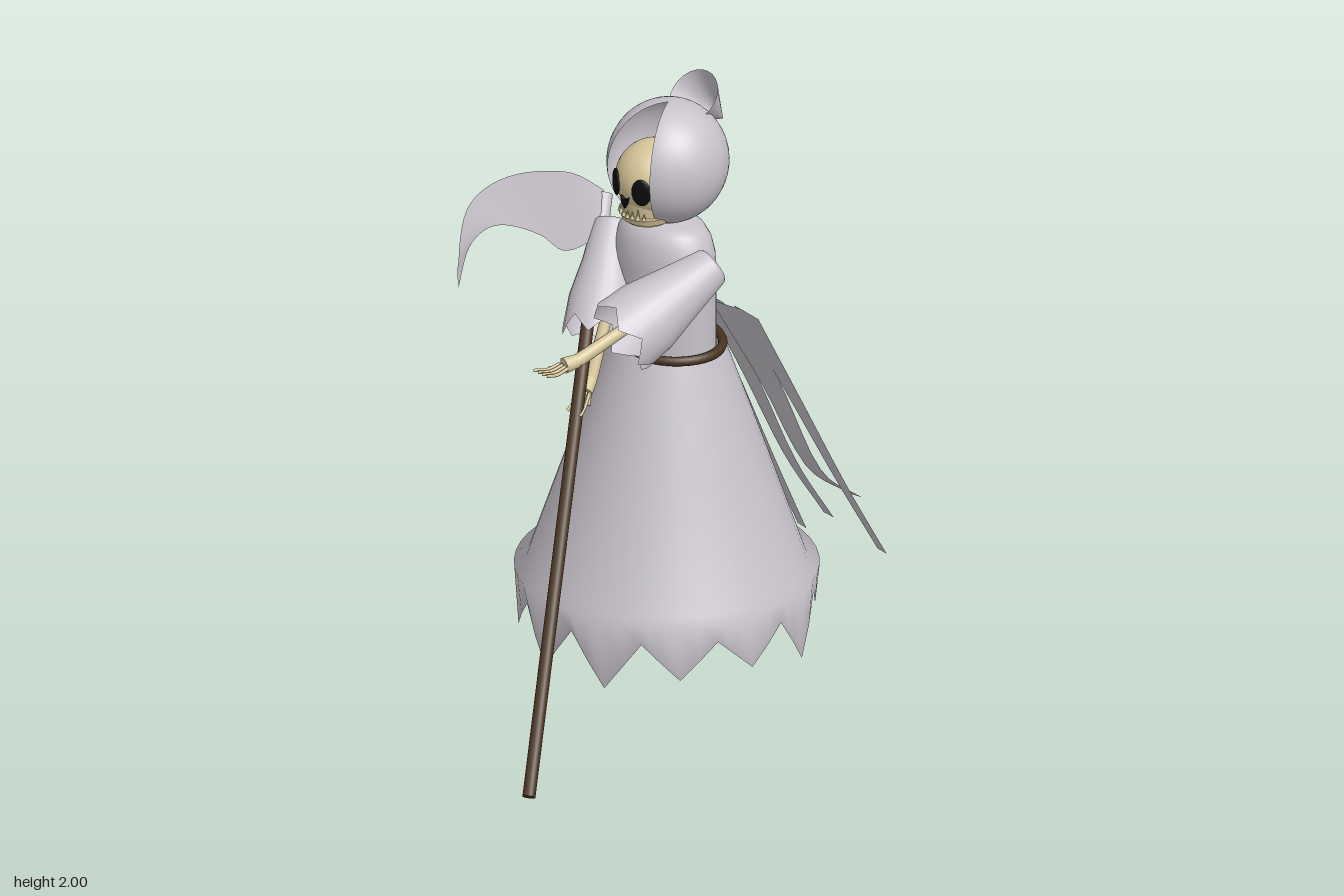
import * as THREE from 'three';

const mat = (name, color, side = THREE.FrontSide) => {
  const m = new THREE.MeshStandardMaterial({ color, side });
  m.name = name;
  return m;
};
const V = (x, y, z) => new THREE.Vector3(x, y, z);
const UP = V(0, 1, 0);
const AXIS_Z = -0.175; // the figure stands a little behind the centre

export function createModel() {
  const cloth = mat('pale cloth', 0xc8c3cb, THREE.DoubleSide);
  const bone = mat('bone', 0xd6c69a);
  const wood = mat('dark wood', 0x4a3420);
  const black = mat('black', 0x0c0c0c);

  const model = new THREE.Group();
  model.name = 'reaper';
  const add = (name, geo, material, pos = [0, 0, 0], parent = model) => {
    const m = new THREE.Mesh(geo, material);
    m.name = name;
    m.position.set(...pos);
    parent.add(m);
    return m;
  };
  // rod from a to b
  const rod = (name, a, b, ra, rb, material, parent = model, sides = 12) => {
    const m = add(name, new THREE.CylinderGeometry(rb, ra, a.distanceTo(b), sides), material, [0, 0, 0], parent);
    m.position.copy(a).lerp(b, 0.5);
    m.quaternion.setFromUnitVectors(UP, b.clone().sub(a).normalize());
    return m;
  };
  // lathe whose lowest ring is cut into ragged points
  const ragged = (profile, spikes, depth, seed) => {
    const geo = new THREE.LatheGeometry(profile.map(p => new THREE.Vector2(...p)), spikes * 4);
    const p = geo.attributes.position, n = profile.length;
    for (let i = 0; i < p.count; i += n) {
      const k = (i / n) % (spikes * 4), spike = Math.floor(k / 4);
      const tip = [0, 0.5, 1, 0.5][k % 4];
      p.setY(i, p.getY(i) - depth * tip * (0.8 + 0.25 * Math.sin(spike * 2.4 + seed)));
    }
    return geo;
  };

  // robe
  add('skirt', ragged([[0.463, 0.29], [0.476, 0.36], [0.437, 0.372], [0.31, 0.75], [0.175, 1.14]], 12, 0.165, 1),
    cloth, [0, 0, AXIS_Z]).rotation.y = 0.12;
  const torso = [[1, 1.12], [1, 1.4], [0.98, 1.45], [0.91, 1.5], [0.78, 1.535], [0.6, 1.552], [0, 1.56]];
  add('torso', new THREE.LatheGeometry(torso.map(p => new THREE.Vector2(...p)), 40), cloth, [0, 0, -0.168])
    .scale.set(0.185, 1, 0.135);
  const belt = add('belt', new THREE.TorusGeometry(0.182, 0.016, 8, 40), wood, [0.015, 1.138, -0.17]);
  belt.rotation.x = Math.PI / 2;
  belt.scale.y = 0.85;

  // hood: a shell with a wedge open at the face, and a drooping point
  const gap = 0.53;
  add('hood', new THREE.SphereGeometry(1, 40, 28, Math.PI / 2 + gap, Math.PI * 2 - gap * 2), cloth, [0, 1.745, -0.18])
    .scale.set(0.188, 0.2, 0.195);
  const point = add('hoodPoint', new THREE.ConeGeometry(0.09, 0.175, 24, 1, true), cloth, [0, 1.87, -0.352]);
  point.quaternion.setFromUnitVectors(UP, V(0, -0.12, -0.127).normalize());

  // skull
  const skull = new THREE.Group();
  skull.name = 'skull';
  model.add(skull);
  add('cranium', new THREE.SphereGeometry(1, 32, 24), bone, [0, 1.71, -0.12], skull).scale.set(0.118, 0.122, 0.125);
  add('jaw', new THREE.CylinderGeometry(0.082, 0.068, 0.09, 24), bone, [0, 1.618, -0.092], skull);
  for (const s of [-1, 1]) {
    const eye = add('eyeSocket', new THREE.SphereGeometry(1, 20, 12), black, [s * 0.057, 1.706, -0.012], skull);
    eye.scale.set(0.032, 0.045, 0.009);
    eye.rotation.y = s * 0.5;
  }
  const nose = new THREE.Shape([[-0.017, 0.02], [-0.011, -0.004], [0, -0.022], [0.011, -0.004], [0.017, 0.02], [0, 0.01]]
    .map(p => new THREE.Vector2(...p)));
  add('nose', new THREE.ExtrudeGeometry(nose, { depth: 0.009, bevelEnabled: false }), black, [0, 1.66, 0], skull);
  add('lowerJaw', new THREE.CylinderGeometry(0.088, 0.08, 0.022, 24), bone, [0, 1.593, -0.092], skull);
  for (let i = -3; i <= 3; i++) {
    const a = i * 0.23, h = Math.abs(i) === 2 ? 0.04 : 0.026;
    const tooth = add('tooth', new THREE.ConeGeometry(0.008, h, 6), bone,
      [Math.sin(a) * 0.085, 1.603 + h / 2, Math.cos(a) * 0.085 - 0.092], skull);
    tooth.rotation.y = a;
  }

  // sleeves, forearms and hands
  const arm = (side, shoulder, cuff, cuffRadius, elbow, wrist, tip, seed) => {
    const g = new THREE.Group();
    g.name = side + 'Arm';
    model.add(g);
    const len = shoulder.distanceTo(cuff);
    const sleeve = add('sleeve', ragged([[cuffRadius, 0], [cuffRadius * 0.95, 0.08], [cuffRadius * 0.72, len * 0.6],
      [0.064, len - 0.01], [0.055, len], [0, len + 0.008]], 6, 0.055, seed), cloth, cuff.toArray(), g);
    sleeve.quaternion.setFromUnitVectors(UP, shoulder.clone().sub(cuff).normalize());
    rod('forearm', elbow, wrist, 0.018, 0.022, bone, g);
    const dir = tip.clone().sub(wrist);
    const knuckles = wrist.clone().addScaledVector(dir, 0.35);
    rod('palm', wrist, knuckles, 0.022, 0.026, bone, g);
    for (let i = 0; i < 4; i++) {
      const o = (i - 1.5) * 0.014;
      const start = knuckles.clone().add(V(o, 0, 0));
      const mid = start.clone().addScaledVector(dir, 0.3).add(V(o * 0.2, -0.008, 0));
      const end = start.clone().addScaledVector(dir, 0.65).add(V(o * 0.4, 0.004, 0));
      add('finger', new THREE.TubeGeometry(new THREE.CatmullRomCurve3([start, mid, end]), 8, 0.0055, 6), bone, [0, 0, 0], g);
    }
    const inward = side === 'left' ? -1 : 1;
    rod('thumb', wrist, wrist.clone().addScaledVector(dir, 0.55).add(V(inward * 0.035, -0.012, 0)), 0.007, 0.005, bone, g, 6);
  };
  arm('left', V(0.23, 1.47, -0.16), V(0.155, 1.31, 0.14), 0.128,
    V(0.17, 1.36, 0.05), V(0.1, 1.245, 0.3), V(0.065, 1.228, 0.43), 0);
  arm('right', V(-0.205, 1.475, -0.14), V(-0.08, 1.225, 0.04), 0.11,
    V(-0.085, 1.24, 0), V(-0.058, 1.06, 0.095), V(-0.025, 0.98, 0.2), 2);

  // scythe
  const foot = V(0.41, 0.012, 0.8), head = V(-0.262, 1.53, -0.15);
  rod('scythePole', foot, head, 0.021, 0.021, wood);
  rod('scytheSocket', foot.clone().lerp(head, 0.965), foot.clone().lerp(head, 1.008), 0.029, 0.029, cloth);
  const outer = [[-0.15, 1.56], [-0.02, 1.66], [0.14, 1.72], [0.28, 1.75], [0.42, 1.757], [0.53, 1.74], [0.6, 1.68], [0.625, 1.6], [0.62, 1.535]];
  const inner = [[-0.14, 1.47], [-0.03, 1.43], [0.07, 1.44], [0.16, 1.52], [0.27, 1.59], [0.38, 1.64], [0.48, 1.652], [0.56, 1.625], [0.62, 1.535]];
  const spline = pts => new THREE.SplineCurve(pts.map(p => new THREE.Vector2(...p))).getPoints(32);
  const spine = spline(outer), edge = spline(inner);
  const blade = new THREE.PlaneGeometry(1, 1, 32, 1);
  const bp = blade.attributes.position;
  for (let i = 0; i < bp.count; i++) {
    const p = i < 33 ? spine[i] : edge[i - 33];
    const t = THREE.MathUtils.clamp((p.x + 0.14) / 0.76, 0, 1);
    const lean = i < 33 ? 0 : 0.05 * (1 - t ** 6); // cutting edge leans inward
    bp.setXYZ(i, -0.262 + 0.162 * t ** 4 + lean, p.y, p.x);
  }
  blade.computeVertexNormals();
  add('scytheBlade', blade, cloth);

  // torn cape strips down the back
  const ends = [0.3, 0.27, 0.25, 0.33, 0.44, 0.29];
  ends.forEach((endY, i) => {
    const k = i - 2.5;
    const path = new THREE.CatmullRomCurve3([
      V(k * 0.08, 1.24, -0.318 - 0.008 * (i % 2)), V(k * 0.096, 0.92, -0.485),
      V(k * 0.113, 0.57, -0.655), V(k * 0.121, endY, -0.81)]);
    const strip = new THREE.PlaneGeometry(1, 1, 1, 14);
    const p = strip.attributes.position;
    for (let j = 0; j < p.count; j++) {
      const t = 0.5 - p.getY(j), c = path.getPoint(t);
      const w = p.getX(j) * (0.047 + 0.078 * (1 - t) ** 1.8);
      p.setXYZ(j, c.x - w, c.y, c.z + w * 0.2 * Math.sin(i * 2));
    }
    strip.computeVertexNormals();
    add('capeStrip', strip, cloth);
  });

  return model;
}
